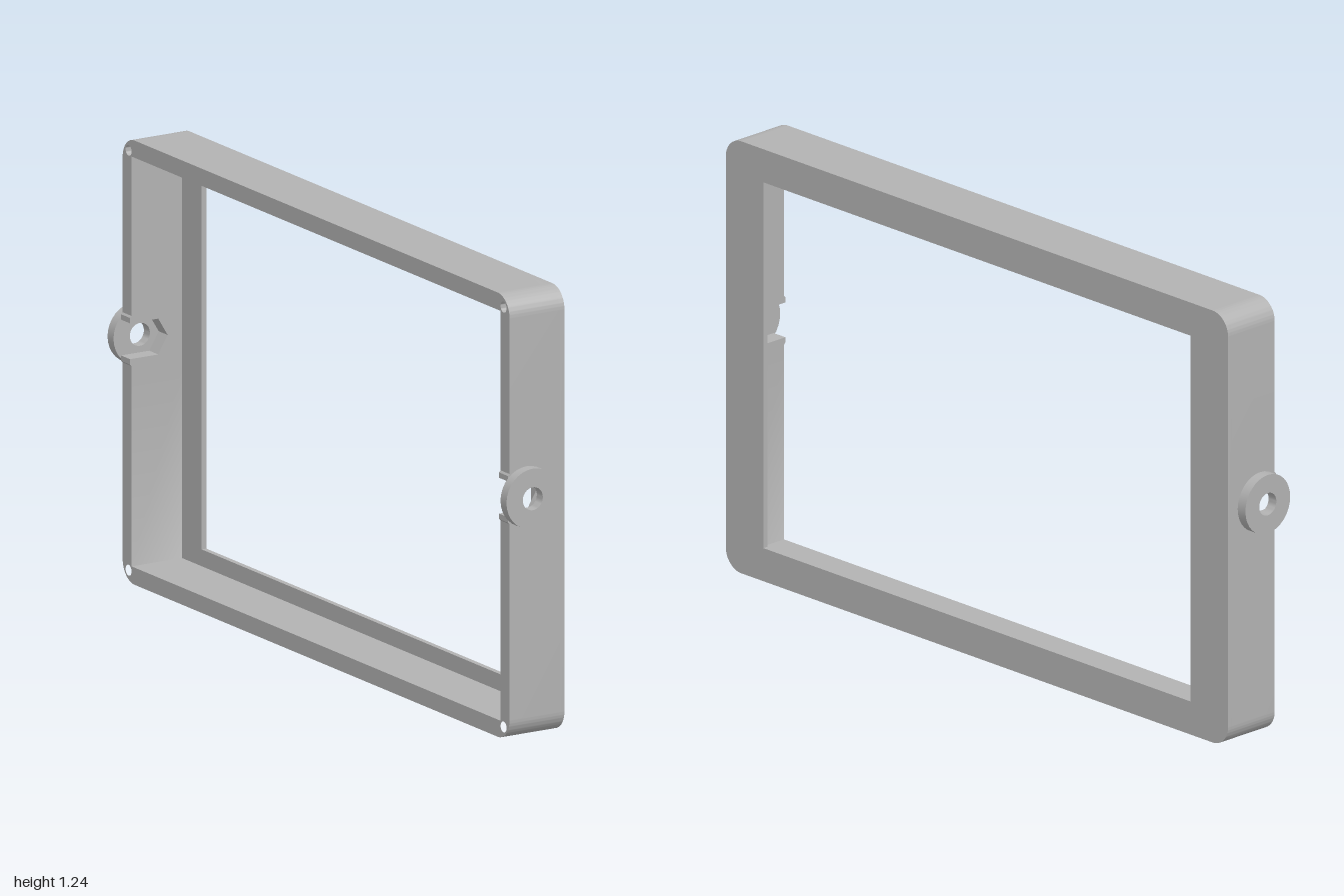
import * as THREE from 'three';
import { toCreasedNormals } from 'three/addons/utils/BufferGeometryUtils.js';

const HALF_Z = 0.97, HEIGHT = 1.24, RADIUS = 0.06;   // outer outline
const INNER_Z = 0.925, WALL_Y = 0.048;               // cavity
const BACK = -0.075, LEDGE = 0.085, FRONT = 0.1;     // depths along x
const PIVOT_X = -0.02, PIVOT_Y = 0.677;

export function createModel() {
  const model = new THREE.Group();
  model.name = 'bezelFrame';
  const grey = new THREE.MeshStandardMaterial({ color: 0xb2b2b2 });
  grey.name = 'grey plastic';

  const add = (name, geometry) => {
    const mesh = new THREE.Mesh(toCreasedNormals(geometry, 0.6), grey);
    mesh.name = name;
    model.add(mesh);
  };
  const extrude = (shape, depth) =>
    new THREE.ExtrudeGeometry(shape, { depth, bevelEnabled: false, curveSegments: 16 });
  // Extrudes a (z, y) outline along x
  const alongX = (shape, x0, x1) => extrude(shape, x1 - x0).rotateY(Math.PI / 2).translate(x0, 0, 0);
  const polygon = (points) => new THREE.Shape(points.map(([x, y]) => new THREE.Vector2(x, y)));
  const circle = (x, y, r) => new THREE.Path().absarc(x, y, r, 0, Math.PI * 2, true);

  // Thin front plate with rounded corners and a rectangular window
  const h = HALF_Z, r = RADIUS;
  const plate = new THREE.Shape();
  plate.moveTo(-h + r, 0);
  plate.lineTo(h - r, 0);
  plate.absarc(h - r, r, r, -Math.PI / 2, 0, false);
  plate.lineTo(h, HEIGHT - r);
  plate.absarc(h - r, HEIGHT - r, r, 0, Math.PI / 2, false);
  plate.lineTo(-h + r, HEIGHT);
  plate.absarc(-h + r, HEIGHT - r, r, Math.PI / 2, Math.PI, false);
  plate.lineTo(-h, r);
  plate.absarc(-h + r, r, r, Math.PI, Math.PI * 1.5, false);
  plate.holes.push(polygon([[-0.825, 0.095], [-0.825, 1.145], [0.825, 1.145], [0.825, 0.095]]));
  add('frontPlate', alongX(plate, LEDGE, FRONT));

  // Upper and lower U-shaped walls, with blind screw holes in the corners
  const wallU = (name, edge, s, legEnd) => {
    const y = (d) => edge - s * d;   // distance inward from the outer edge
    const shape = new THREE.Shape();
    shape.moveTo(h, legEnd);
    shape.lineTo(h, y(r));
    shape.absarc(h - r, y(r), r, 0, s * Math.PI / 2, s < 0);
    shape.lineTo(-h + r, edge);
    shape.absarc(-h + r, y(r), r, s * Math.PI / 2, s * Math.PI, s < 0);
    shape.lineTo(-h, legEnd);
    shape.lineTo(-INNER_Z, legEnd);
    shape.lineTo(-INNER_Z, y(WALL_Y));
    shape.lineTo(INNER_Z, y(WALL_Y));
    shape.lineTo(INNER_Z, legEnd);
    for (const side of [-1, 1]) shape.holes.push(circle(side * 0.94, y(0.034), 0.015));
    add(name, alongX(shape, BACK, LEDGE));
  };
  wallU('upperWall', HEIGHT, 1, PIVOT_Y + 0.1);
  wallU('lowerWall', 0, -1, PIVOT_Y - 0.1);

  // Wall section with a nut slot open to the back and slightly raised lips
  const half = [[0.04, 0], [0.01, 0.05], [-0.08, 0.05], [-0.08, 0.065], [BACK, 0.07], [BACK, 0.1], [LEDGE, 0.1]];
  const upper = half.map(([x, y]) => [x, PIVOT_Y + y]);
  const lower = half.slice(1).reverse().map(([x, y]) => [x, PIVOT_Y - y]);
  const slot = polygon([...upper, ...lower]);

  // Round pivot washer
  const ring = new THREE.Shape().absarc(PIVOT_X, PIVOT_Y, 0.084, 0, Math.PI * 2, false);
  ring.holes.push(circle(PIVOT_X, PIVOT_Y, 0.032));

  for (const [label, wallZ, ringZ] of [['front', INNER_Z, HALF_Z], ['back', -HALF_Z, -1]]) {
    add(label + 'NutSlot', extrude(slot, HALF_Z - INNER_Z).translate(0, 0, wallZ));
    add(label + 'PivotWasher', extrude(ring, 0.03).translate(0, 0, ringZ));
  }
  return model;
}
